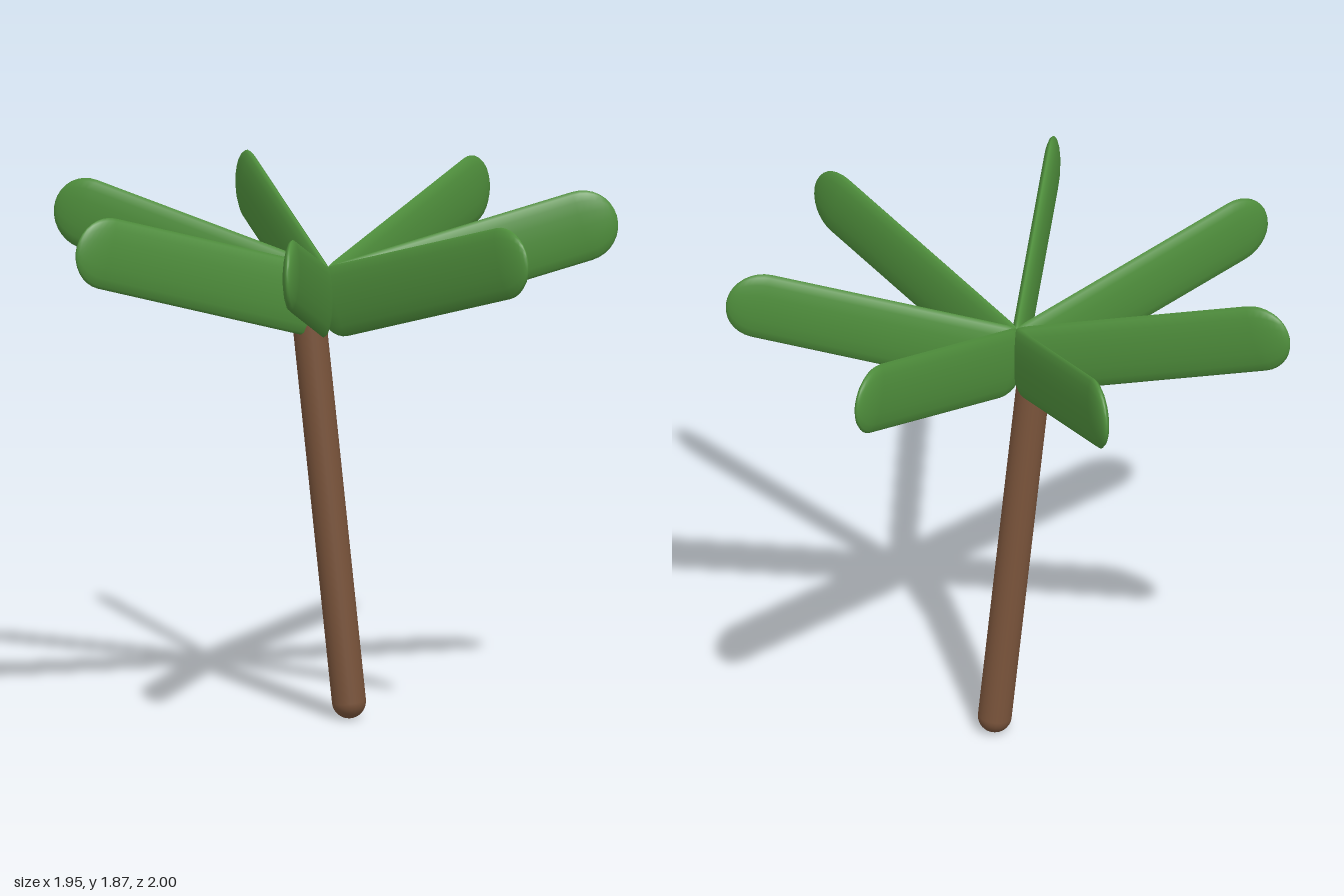
import * as THREE from 'three';

export function createModel() {
  const group = new THREE.Group();
  const bark = new THREE.MeshStandardMaterial({ name: 'bark brown', color: 0x7a543b });
  const leaf = new THREE.MeshStandardMaterial({ name: 'leaf green', color: 0x4f8f3c });
  const husk = new THREE.MeshStandardMaterial({ name: 'husk brown', color: 0x5c3a22 });

  const add = (parent, name, geometry, material) => {
    const mesh = new THREE.Mesh(geometry, material);
    mesh.name = name;
    parent.add(mesh);
    return mesh;
  };

  // Capsule running between two points in the XY plane, optionally flattened in z
  const capsuleBetween = (a, b, radius, flat, radial) => {
    const dir = b.clone().sub(a);
    return new THREE.CapsuleGeometry(radius, dir.length(), 8, radial)
      .scale(1, 1, flat)
      .rotateZ(Math.atan2(dir.y, dir.x) - Math.PI / 2)
      .translate((a.x + b.x) / 2, (a.y + b.y) / 2, 0);
  };

  // Leaning trunk
  add(group, 'trunk', capsuleBetween(
    new THREE.Vector2(0.022, 0.06), new THREE.Vector2(-0.125, 1.49), 0.06, 1, 20), bark);

  // Crown: seven flattened fronds rising outward
  const crown = new THREE.Group();
  crown.name = 'crown';
  crown.position.x = -0.055;
  group.add(crown);
  const frond = capsuleBetween(
    new THREE.Vector2(0.07, 1.5), new THREE.Vector2(0.898, 1.742), 0.127, 0.22, 16);
  for (let i = 0; i < 7; i++) {
    add(crown, 'frond', frond, leaf).rotation.y = (i / 7) * Math.PI * 2;
  }

  // Three nuts tucked between the fronds
  const nut = new THREE.SphereGeometry(0.045, 16, 12);
  for (let i = 0; i < 3; i++) {
    const a = (i / 3) * Math.PI * 2;
    add(crown, 'nut', nut, husk).position.set(Math.cos(a) * 0.07, 1.53, Math.sin(a) * 0.07);
  }
  return group;
}
